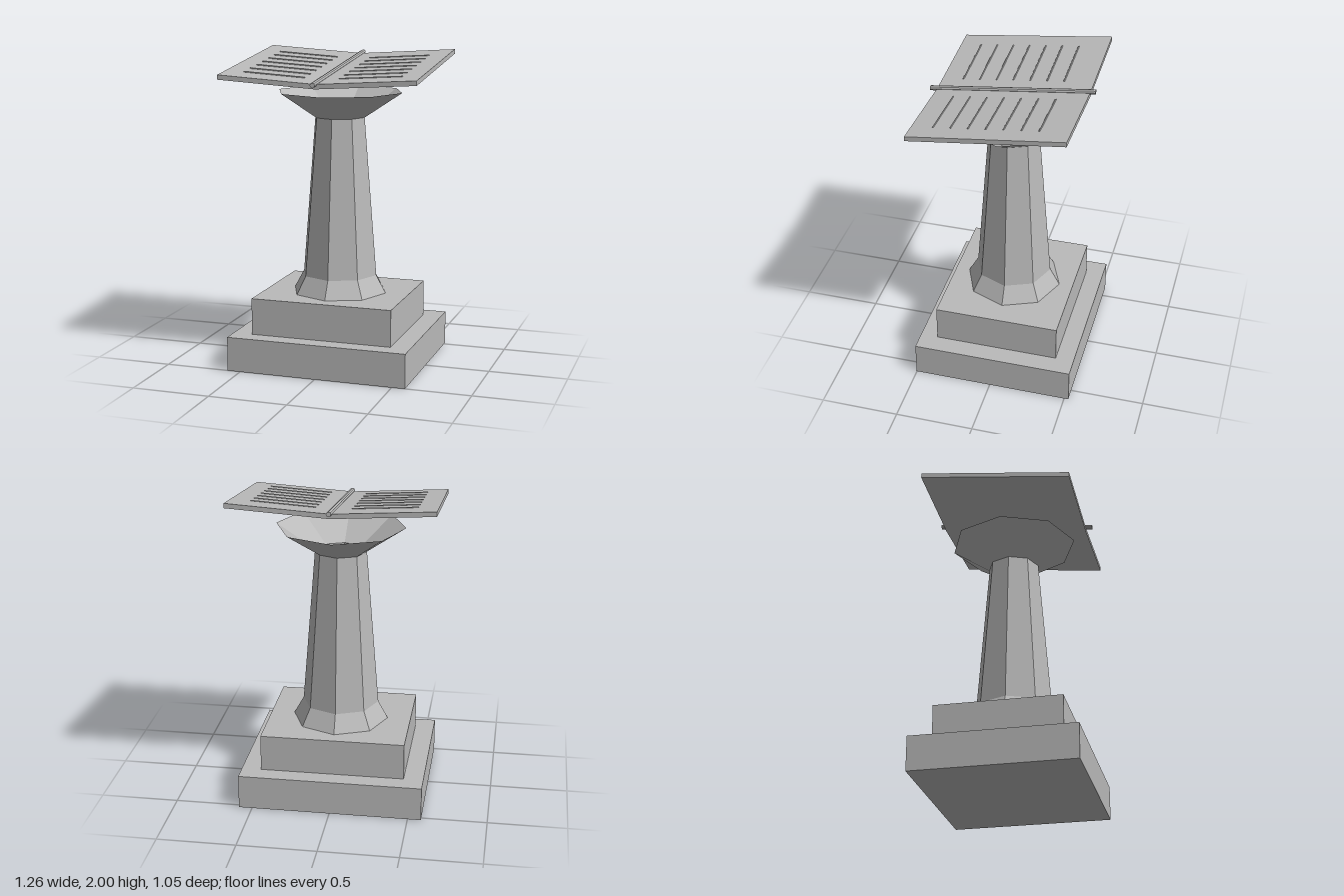
import * as THREE from 'three';

export function createModel() {
  const model = new THREE.Group();
  model.name = 'lectern';
  const stone = new THREE.MeshStandardMaterial({ color: 0xbababa, flatShading: true, side: THREE.DoubleSide });
  stone.name = 'grey stone';

  function add(name, geometry, parent = model) {
    const mesh = new THREE.Mesh(geometry, stone);
    mesh.name = name;
    parent.add(mesh);
    return mesh;
  }

  // Two stepped plinth blocks
  const steps = [
    ['lowerPlinth', 1.17, 1.03, 0, 0.22, -0.013],
    ['upperPlinth', 0.92, 0.8, 0.22, 0.455, -0.01],
  ];
  for (const [name, w, d, y0, y1, z] of steps) {
    add(name, new THREE.BoxGeometry(w, y1 - y0, d)).position.set(0, (y0 + y1) / 2, z);
  }

  // Octagonal column: flared foot, tapering shaft and open, hollow capital
  const lathe = (points) => new THREE.LatheGeometry(points.map(([r, y]) => new THREE.Vector2(r, y)), 8);
  add('columnFoot', lathe([[0.31, 0.455], [0.247, 0.57]])).position.z = -0.01;
  add('columnShaft', lathe([[0.247, 0.57], [0.165, 1.59]])).position.z = -0.01;
  add('capital', lathe([[0.165, 1.59], [0.41, 1.753]])).position.z = -0.01;

  // Open book: laid out flat, then sloped up towards the back and the outer edges
  const book = new THREE.Group();
  book.name = 'openBook';
  model.add(book);
  function slope(geometry) {
    const p = geometry.attributes.position;
    for (let i = 0; i < p.count; i++) {
      p.setY(i, p.getY(i) + 1.9 + 0.063 * Math.abs(p.getX(i)) - 0.125 * p.getZ(i));
    }
    geometry.computeVertexNormals();
    return geometry;
  }

  for (const [side, s] of [['left', 1], ['right', -1]]) {
    add(side + 'Page', slope(new THREE.BoxGeometry(0.632, 0.03, 0.96).translate(s * 0.316, -0.015, 0)), book);
    // Raised rods as lines of writing
    for (let i = 0; i < 7; i++) {
      const rod = new THREE.CylinderGeometry(0.005, 0.005, 0.4, 6).rotateZ(Math.PI / 2);
      add(side + 'Line' + (i + 1), slope(rod.translate(s * 0.31, 0.001, -0.293 + i * 0.1063)), book);
    }
  }

  // Rod along the fold
  const spine = new THREE.CylinderGeometry(0.016, 0.016, 1.035, 8).rotateX(Math.PI / 2);
  add('spineRod', slope(spine.translate(0, 0.002, 0.006)), book);

  return model;
}
